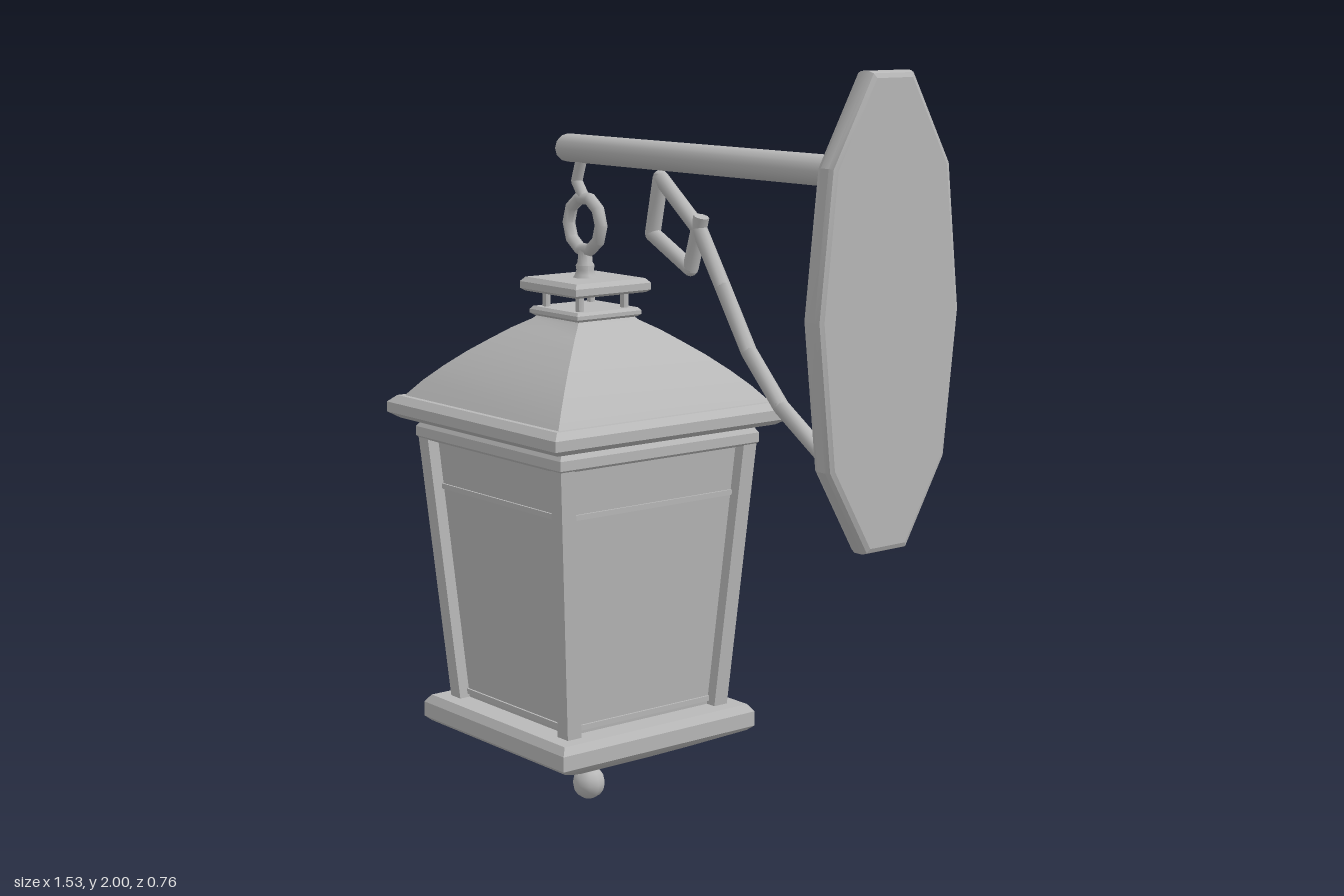
import * as THREE from 'three';
import { toCreasedNormals } from 'three/addons/utils/BufferGeometryUtils.js';

export function createModel() {
  const model = new THREE.Group();
  const metal = new THREE.MeshStandardMaterial({ color: 0xb8b8b8 });
  metal.name = 'grey metal';

  const add = (parent, name, geometry, crease = 0.5) => {
    const mesh = new THREE.Mesh(toCreasedNormals(geometry, crease), metal);
    mesh.name = name;
    parent.add(mesh);
    return mesh;
  };
  // Square solid from [half width, y] sections, listed bottom to top
  const square = (parent, name, sections, crease = 0.15) => {
    const pts = sections.map(([h, y]) => new THREE.Vector2(h * Math.SQRT2, y));
    return add(parent, name, new THREE.LatheGeometry(pts, 4).rotateY(Math.PI / 4), crease);
  };
  // Rod between two points
  const rod = (parent, name, a, b, r, sides = 8) => {
    const from = new THREE.Vector3(...a), to = new THREE.Vector3(...b);
    const mesh = add(parent, name, new THREE.CylinderGeometry(r, r, from.distanceTo(to), sides), 0.9);
    mesh.position.copy(from).lerp(to, 0.5);
    mesh.quaternion.setFromUnitVectors(new THREE.Vector3(0, 1, 0), to.sub(from).normalize());
    return mesh;
  };
  // Bent bar: rods joined by small round elbows
  const bentBar = (parent, name, points, r) => {
    const group = new THREE.Group();
    group.name = name;
    points.forEach((p, i) => {
      if (i === 0) return;
      rod(group, name + 'Segment', [...points[i - 1], 0], [...p, 0], r);
      if (i < points.length - 1)
        add(group, name + 'Elbow', new THREE.SphereGeometry(r, 8, 6), 0.9).position.set(p[0], p[1], 0);
    });
    parent.add(group);
  };

  // Lantern, hanging off the arm
  const lantern = new THREE.Group();
  lantern.name = 'lantern';
  lantern.position.x = -0.39;
  model.add(lantern);

  square(lantern, 'base', [[0, 0.113], [0.09, 0.113], [0.11, 0.119], [0.19, 0.154], [0.305, 0.207],
    [0.32, 0.22], [0.32, 0.26], [0.305, 0.28], [0, 0.28]]);
  square(lantern, 'panes', [[0.235, 0.27], [0.288, 1.0]]);
  square(lantern, 'topBand', [[0, 0.993], [0.318, 0.993], [0.325, 1.0], [0.325, 1.025], [0.315, 1.04], [0.3, 1.055], [0, 1.055]]);

  // Leaning corner posts
  for (const sx of [-1, 1]) for (const sz of [-1, 1]) {
    const post = new THREE.BoxGeometry(0.044, 0.73, 0.044);
    const p = post.attributes.position;
    for (let i = 0; i < p.count; i++) {
      const y = p.getY(i) + 0.635;
      const centre = 0.244 + (y - 0.27) * 0.075;
      p.setXYZ(i, p.getX(i) + sx * centre, y, p.getZ(i) + sz * centre);
    }
    add(lantern, 'cornerPost', post);
  }
  // Thin rails across the panes
  for (const [name, y, h] of [['upperRail', 0.865, 0.284], ['lowerRail', 0.297, 0.243]])
    square(lantern, name, [[h - 0.02, y - 0.007], [h, y - 0.007], [h, y + 0.007], [h - 0.02, y + 0.007]]);

  // Roof: bevelled eave, domed slopes, collar
  square(lantern, 'eave', [[0, 1.047], [0.355, 1.047], [0.38, 1.063], [0.38, 1.09], [0.36, 1.108], [0, 1.108]]);
  square(lantern, 'roof', [[0.345, 1.1], [0.345, 1.108], [0.31, 1.15], [0.27, 1.19], [0.225, 1.23],
    [0.18, 1.265], [0.14, 1.295], [0.1, 1.32], [0.09, 1.33]], 0.3);
  square(lantern, 'collar', [[0, 1.328], [0.095, 1.328], [0.105, 1.335], [0.105, 1.345], [0.098, 1.353], [0, 1.353]]);
  for (const sx of [-1, 1]) for (const sz of [-1, 1])
    rod(lantern, 'ventPost', [sx * 0.073, 1.34, sz * 0.073], [sx * 0.073, 1.4, sz * 0.073], 0.011);
  square(lantern, 'cap', [[0, 1.393], [0.113, 1.393], [0.123, 1.4], [0.123, 1.418], [0.112, 1.43], [0, 1.43]]);

  // Stem, hanging ring and hook
  const stem = [[0.035, 1.425], [0.027, 1.438], [0.023, 1.45], [0.025, 1.462], [0.02, 1.47], [0.017, 1.505]];
  add(lantern, 'stem', new THREE.LatheGeometry(stem.map((q) => new THREE.Vector2(...q)), 10), 0.9);
  add(lantern, 'ring', new THREE.TorusGeometry(0.07, 0.017, 8, 10), 0.9).position.y = 1.57;
  bentBar(lantern, 'hook', [[0.0, 1.635], [-0.034, 1.68], [-0.012, 1.74]], 0.015);

  // Ball below the base
  add(lantern, 'ball', new THREE.SphereGeometry(0.045, 10, 8), 0.9).position.y = 0.045;

  // Arm
  rod(model, 'arm', [-0.46, 1.765, 0], [0.72, 1.765, 0], 0.037, 12).scale.z = 1.16;

  // Curved brace ending in an angular scroll
  bentBar(model, 'brace', [[0.72, 1.048], [0.54, 1.095], [0.39, 1.19], [0.27, 1.31], [0.17, 1.46], [0.08, 1.593],
    [-0.073, 1.71], [-0.105, 1.567], [0.046, 1.493], [0.088, 1.625]], 0.02);

  // Ten-sided wall plate with bevelled rim
  const half = [[0.055, 1.985], [0.168, 1.785], [0.205, 1.45], [0.168, 1.11], [0.055, 0.915]];
  const outline = [...half, ...half.map(([z, y]) => [-z, y]).reverse()];
  const plate = new THREE.ExtrudeGeometry(
    new THREE.Shape(outline.map((q) => new THREE.Vector2(...q))),
    { depth: 0.026, bevelSize: 0.015, bevelThickness: 0.017, bevelSegments: 2 });
  plate.rotateY(Math.PI / 2).translate(0.722, 0, 0);
  add(model, 'wallPlate', plate, 0.4);

  return model;
}
